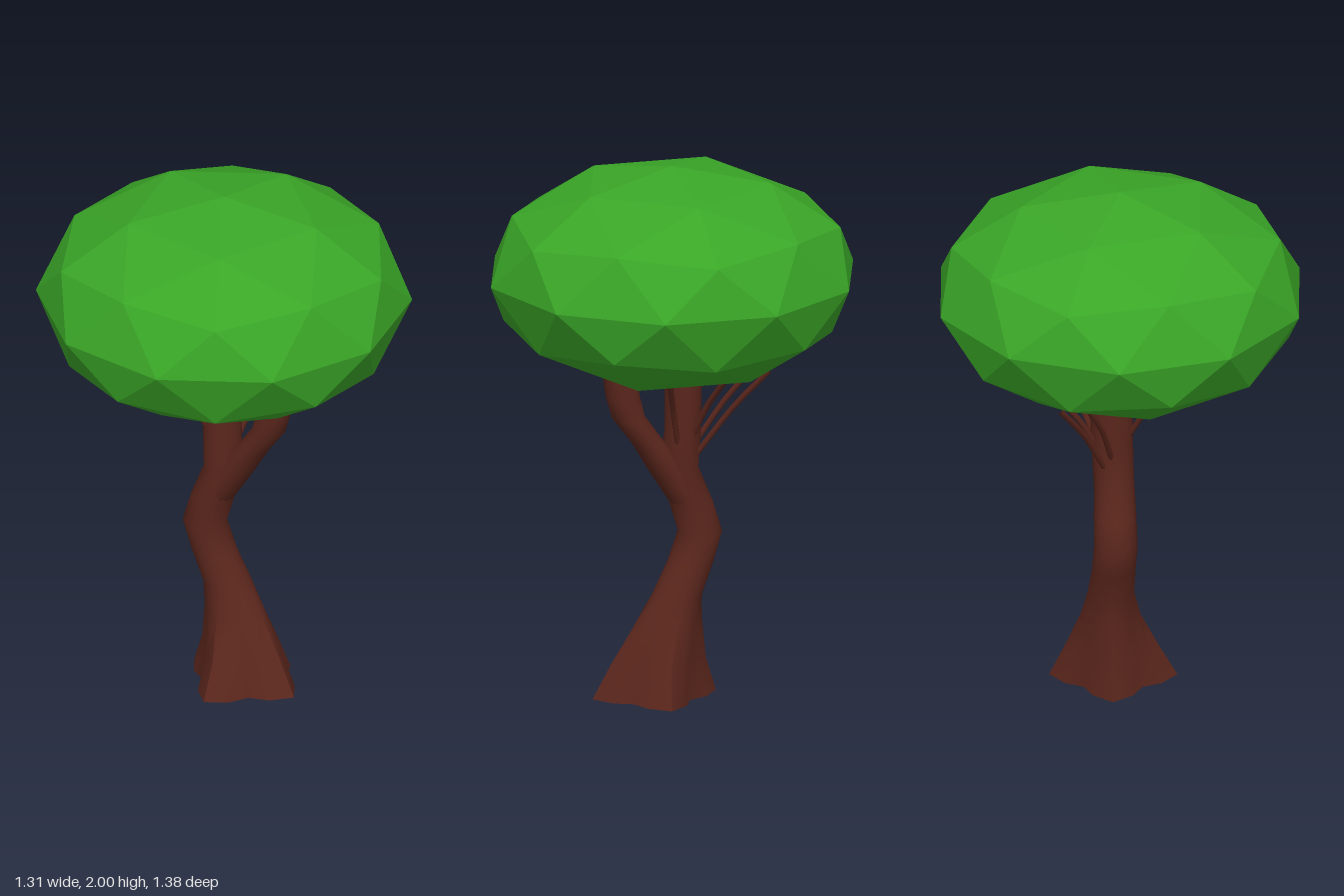
import * as THREE from 'three';
import { toCreasedNormals } from 'three/addons/utils/BufferGeometryUtils.js';

const SIDES = 16;

// Closed limb through horizontal rings: [y, centreX, centreZ, radiusX, radiusZ, rootDepth]
function limb(rings) {
  const pos = [], index = [];
  for (const [y, cx, cz, rx, rz, depth = 0] of rings) {
    for (let j = 0; j < SIDES; j++) {
      const a = (j / SIDES) * Math.PI * 2;
      const s = 1 - depth * (1 - Math.cos(4 * a)) / 2; // four root lobes
      pos.push(cx + Math.cos(a) * rx * s, y, cz + Math.sin(a) * rz * s);
    }
  }
  for (let i = 0; i < rings.length - 1; i++) {
    for (let j = 0; j < SIDES; j++) {
      const a = i * SIDES + j, b = i * SIDES + (j + 1) % SIDES;
      index.push(a, a + SIDES, b, b, a + SIDES, b + SIDES);
    }
  }
  // end caps
  const last = (rings.length - 1) * SIDES, c = pos.length / 3;
  for (const r of [rings[0], rings[rings.length - 1]]) pos.push(r[1], r[0], r[2]);
  for (let j = 0; j < SIDES; j++) {
    const k = (j + 1) % SIDES;
    index.push(c, j, k, c + 1, last + k, last + j);
  }
  const g = new THREE.BufferGeometry();
  g.setAttribute('position', new THREE.Float32BufferAttribute(pos, 3));
  g.setIndex(index);
  return toCreasedNormals(g, 0.75);
}

export function createModel() {
  const tree = new THREE.Group();
  tree.name = 'tree';
  const bark = new THREE.MeshStandardMaterial({ color: 0x5a261c });
  const leaf = new THREE.MeshStandardMaterial({ color: 0x3aa627, flatShading: true });
  const add = (name, geometry, material) => {
    const mesh = new THREE.Mesh(geometry, material);
    mesh.name = name;
    tree.add(mesh);
    return mesh;
  };

  // Canopy: faceted ball with a corner at the top, squashed in height
  const ball = new THREE.IcosahedronGeometry(1, 1);
  ball.rotateZ(-Math.atan(2 / (1 + Math.sqrt(5))));
  ball.scale(0.69, 0.41, 0.69);
  add('canopy', ball, leaf).position.y = 1.59;

  // Trunk: flared roots, S-bend, upright top
  add('trunk', limb([
    [0, 0.025, 0.075, 0.235, 0.235, 0.36],
    [0.13, 0.03, 0.06, 0.17, 0.18, 0.28],
    [0.27, 0.035, 0.025, 0.11, 0.13, 0.12],
    [0.38, 0.033, -0.01, 0.085, 0.092],
    [0.5, 0.022, -0.065, 0.08, 0.085],
    [0.61, 0.015, -0.102, 0.08, 0.082],
    [0.72, 0.018, -0.068, 0.078, 0.082],
    [0.86, 0.022, -0.02, 0.073, 0.072],
    [1.0, 0.03, -0.032, 0.078, 0.066],
    [1.23, 0.03, -0.035, 0.076, 0.068],
  ]), bark);

  // Heavy branch leaning forward
  add('frontBranch', limb([
    [0.72, 0.02, -0.06, 0.07, 0.07],
    [0.86, 0.03, 0.03, 0.07, 0.07],
    [0.97, 0.04, 0.105, 0.066, 0.06],
    [1.07, 0.042, 0.178, 0.064, 0.062],
    [1.15, 0.042, 0.2, 0.064, 0.064],
    [1.23, 0.042, 0.212, 0.062, 0.062],
  ]), bark);

  // Thin twigs reaching into the canopy: base point, tip point
  const twigs = [
    [[0.08, 0.96, 0.0], [0.22, 1.23, 0.07]],
    [[0.08, 0.98, -0.05], [0.25, 1.24, -0.13]],
    [[0.06, 0.92, -0.08], [0.22, 1.26, -0.31]],
    [[0.03, 0.95, -0.08], [0.12, 1.26, -0.29]],
    [[-0.03, 1.03, -0.05], [-0.12, 1.23, -0.14]],
  ];
  for (const [base, tip] of twigs) {
    const a = new THREE.Vector3(...base), b = new THREE.Vector3(...tip);
    const mid = a.clone().lerp(b, 0.5).add(new THREE.Vector3(-0.01, 0.012, 0));
    const path = new THREE.CatmullRomCurve3([a, mid, b]);
    add('twig', new THREE.TubeGeometry(path, 6, 0.011, 8), bark);
  }
  return tree;
}
